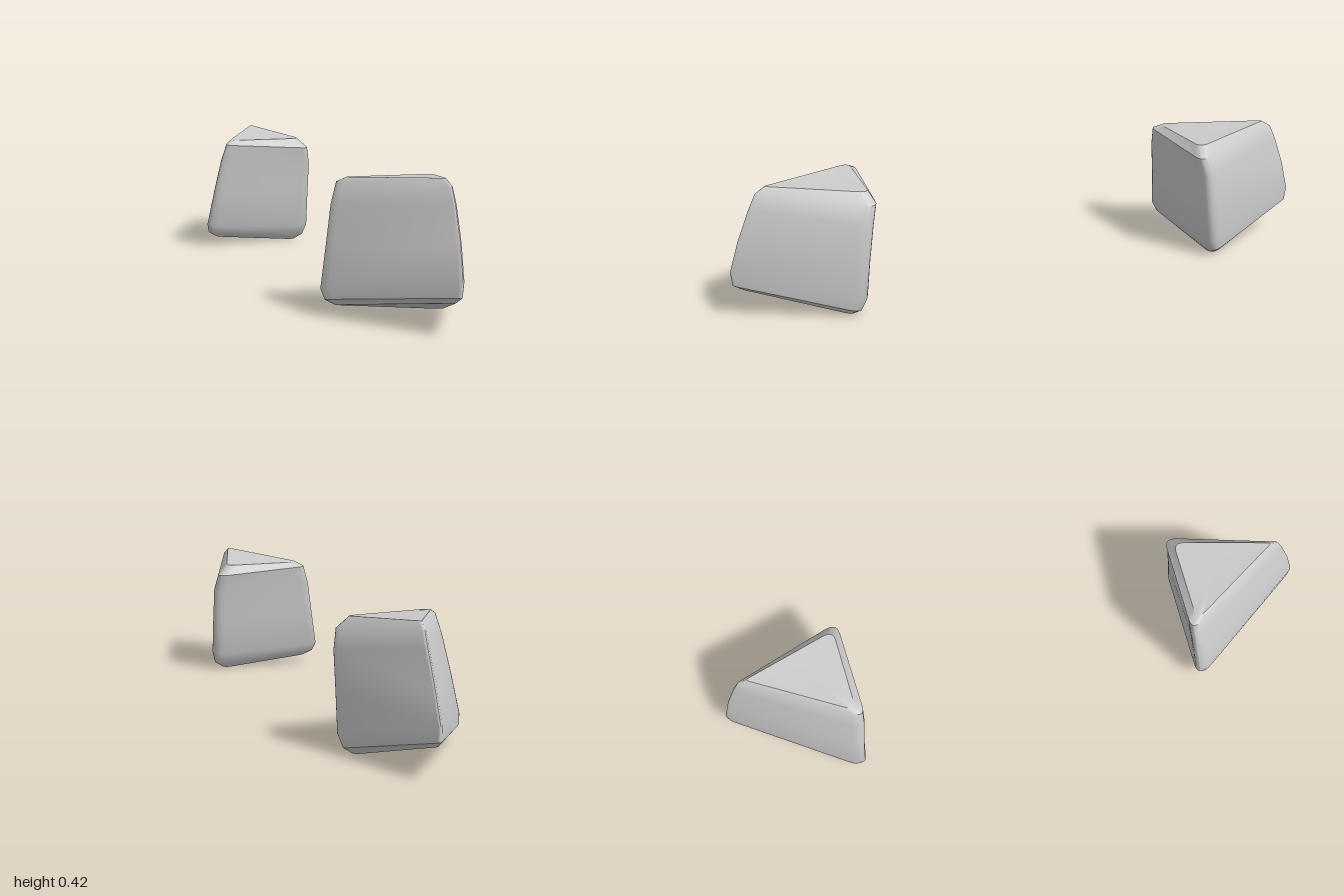
import * as THREE from 'three';
import { toCreasedNormals } from 'three/addons/utils/BufferGeometryUtils.js';

// Rings from bottom to top: left corner, ridge corner, right corner
const RINGS = [
  [[-0.165, 0.035, 0.625], [0.05, 0.095, 0.965], [0.16, 0.002, 0.645]],
  [[-0.192, 0.05, 0.61], [0.055, 0.115, 0.995], [0.188, 0.02, 0.63]],
  [[-0.2, 0.08, 0.595], [0.057, 0.16, 1.0], [0.2, 0.06, 0.615]],
  [[-0.178, 0.2, 0.58], [0.062, 0.26, 0.97], [0.2, 0.19, 0.6]],
  [[-0.155, 0.32, 0.56], [0.065, 0.36, 0.93], [0.2, 0.3, 0.585]],
  [[-0.135, 0.385, 0.553], [0.064, 0.405, 0.908], [0.187, 0.362, 0.57]],
  [[-0.11, 0.4, 0.575], [0.06, 0.425, 0.875], [0.15, 0.398, 0.585]],
];
const ROUND = [0.12, 0.04, 0.12]; // share of each edge used by the corner
const STEPS = 6;

// Triangle with rounded corners that still reaches its three corner points
function roundedTriangle(corners) {
  const p = corners.map((c) => new THREE.Vector3(...c));
  const centre = p[0].clone().add(p[1]).add(p[2]).divideScalar(3);
  const q = p.map((v, i) => v.clone().lerp(centre, -0.75 * ROUND[i]));
  const points = [];
  q.forEach((v, i) => {
    const a = v.clone().lerp(q[(i + 2) % 3], ROUND[i]);
    const b = v.clone().lerp(q[(i + 1) % 3], ROUND[i]);
    points.push(...new THREE.QuadraticBezierCurve3(a, v, b).getPoints(STEPS));
  });
  return points;
}

// Loft through the rings, closed by a two-step cap at each end
function stoneGeometry(mirror) {
  const loops = RINGS.map(roundedTriangle);
  const n = loops[0].length;
  const centreOf = (loop) => loop.reduce((s, v) => s.add(v), new THREE.Vector3()).divideScalar(n);
  const bottom = centreOf(loops[0]);
  const top = centreOf(loops[loops.length - 1]);
  top.y -= 0.003;
  loops.unshift(loops[0].map((v) => v.clone().lerp(bottom, 0.5)));
  loops.push(loops[loops.length - 1].map((v) => v.clone().lerp(top, 0.5)));

  const positions = [...loops.flat(), bottom, top].flatMap((v) => [v.x, v.y, v.z * mirror]);
  const bottomId = loops.length * n;
  const index = [];
  const face = (a, b, c) => index.push(...(mirror > 0 ? [a, b, c] : [a, c, b]));
  for (let k = 0; k < n; k++) {
    const next = (k + 1) % n;
    for (let r = 0; r < loops.length - 1; r++) {
      const a = r * n + k, b = r * n + next;
      face(a, b, b + n);
      face(a, b + n, a + n);
    }
    const last = (loops.length - 1) * n;
    face(bottomId, next, k);
    face(bottomId + 1, last + k, last + next);
  }
  const geometry = new THREE.BufferGeometry();
  geometry.setAttribute('position', new THREE.Float32BufferAttribute(positions, 3));
  geometry.setIndex(index);
  return toCreasedNormals(geometry, 0.6);
}

export function createModel() {
  const group = new THREE.Group();
  group.name = 'wedgeStones';
  const material = new THREE.MeshStandardMaterial({ color: 0xcccccc });
  // Front and back wedge stones mirror each other
  for (const [name, mirror] of [['frontStone', 1], ['backStone', -1]]) {
    const stone = new THREE.Mesh(stoneGeometry(mirror), material);
    stone.name = name;
    group.add(stone);
  }
  return group;
}
